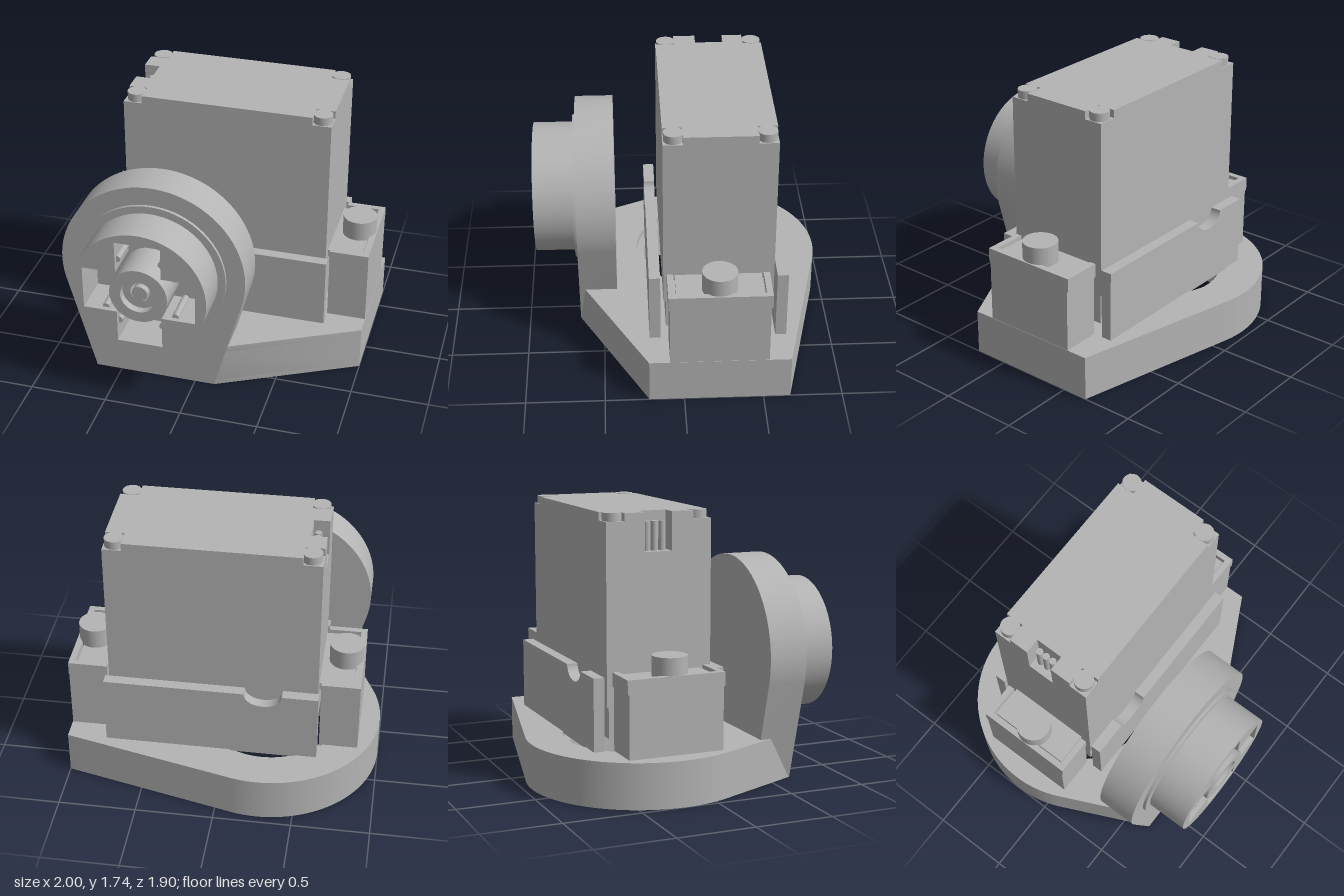
import * as THREE from 'three';
import { toCreasedNormals } from 'three/addons/utils/BufferGeometryUtils.js';

const plastic = new THREE.MeshStandardMaterial({ color: 0xb4b4b4 });
plastic.name = 'grey plastic';

export function createModel() {
  const model = new THREE.Group();
  const AX = -0.27, AZ = -0.22, AY = 0.81; // shared turning axes

  const add = (name, geo, x = 0, y = 0, z = 0) => {
    const m = new THREE.Mesh(geo, plastic);
    m.name = name;
    m.position.set(x, y, z);
    model.add(m);
    return m;
  };
  const poly = (pts) => new THREE.Shape(pts.map(([a, b]) => new THREE.Vector2(a, b)));
  const circle = (x, y, r) => new THREE.Path().absarc(x, y, r, 0, Math.PI * 2, true);
  const extrude = (shape, depth) => toCreasedNormals(
    new THREE.ExtrudeGeometry(shape, { depth, bevelEnabled: false, curveSegments: 48 }), 0.5);
  // plan shape drawn as (x, -z), raised from y0 to y1
  const slab = (name, shape, y0, y1) =>
    add(name, extrude(shape, y1 - y0).rotateX(-Math.PI / 2), 0, y0, 0);
  // front shape drawn as (x, y), running from z0 to z1
  const plate = (name, shape, z0, z1) => add(name, extrude(shape, z1 - z0), 0, 0, z0);
  const box = (name, x0, x1, y0, y1, z0, z1) => add(name,
    new THREE.BoxGeometry(x1 - x0, y1 - y0, z1 - z0), (x0 + x1) / 2, (y0 + y1) / 2, (z0 + z1) / 2);
  const post = (name, x, z, r, y0, y1) =>
    add(name, new THREE.CylinderGeometry(r, r, y1 - y0, 40), x, (y0 + y1) / 2, z);
  const ring = (name, ro, ri, y0, y1) => {
    const s = new THREE.Shape().absarc(AX, -AZ, ro, 0, Math.PI * 2);
    s.holes.push(circle(AX, -AZ, ri));
    return slab(name, s, y0, y1);
  };

  // Base: rounded at the back left, with a round bore of varying width
  const baseShape = (hole) => {
    const s = new THREE.Shape();
    s.moveTo(-0.67, -0.655);
    s.lineTo(0.14, -0.655);
    s.lineTo(1, -0.22);
    s.lineTo(1, 0.67);
    s.absarc(AX, -AZ, 0.73, 1.34, Math.PI + 0.41, false);
    s.closePath();
    s.holes.push(circle(AX, -AZ, hole));
    return s;
  };
  slab('baseBottom', baseShape(0.56), 0, 0.03);
  slab('baseMiddle', baseShape(0.44), 0.03, 0.25);
  slab('baseTop', baseShape(0.49), 0.25, 0.29);
  ring('boreOuterRing', 0.54, 0.5, 0, 0.04);
  ring('boreInnerRing', 0.48, 0.44, 0.01, 0.04);

  // Upright front bracket with a round head
  const bracket = new THREE.Shape();
  bracket.moveTo(-0.67, 0);
  bracket.lineTo(0.13, 0);
  bracket.absarc(AX, AY, 0.6, -0.25, Math.PI + 0.25, false);
  bracket.closePath();
  plate('frontBracket', bracket, 0.41, 0.66);

  // Hub with a cross-shaped socket
  const disc = (r) => new THREE.Shape().absarc(AX, AY, r, 0, Math.PI * 2);
  plate('hubLip', disc(0.48), 0.65, 0.68);
  const w = 0.145, l = 0.36;
  const cross = [[-w, l], [-w, w], [-l, w], [-l, -w], [-w, -w], [-w, -l],
    [w, -l], [w, -w], [l, -w], [l, w], [w, w], [w, l]].map(([a, b]) => [AX + a, AY + b]);
  const hub = disc(0.43);
  hub.holes.push(new THREE.Path(poly(cross).getPoints()));
  plate('hub', hub, 0.68, 0.94);
  const boss = disc(0.185);
  boss.holes.push(circle(AX, AY, 0.115));
  plate('hubBoss', boss, 0.68, 0.95);
  const core = disc(0.115);
  core.holes.push(circle(AX, AY, 0.065));
  plate('hubCore', core, 0.68, 0.9);
  plate('hubPin', disc(0.05), 0.68, 0.92);
  for (const sx of [-1, 1]) for (const sy of [-1, 1]) {
    for (const [dx, dy] of [[0.14, 0.225], [0.225, 0.14]]) {
      add('socketRib', new THREE.CylinderGeometry(0.022, 0.022, 0.22, 12).rotateX(Math.PI / 2),
        AX + sx * dx, AY + sy * dy, 0.8);
    }
  }

  // Motor case: the end with the cable slot is on -x
  const X0 = -0.61, X1 = 0.725, Z0 = -0.57, Z1 = 0.12, c = 0.12;
  box('motorLowerCase', X0 + 0.01, X1 - 0.01, 0.36, 0.56, Z0 + 0.015, Z1 - 0.015);
  box('motorCase', X0, X1, 0.56, 1.5, Z0, Z1);
  const slot = [[X0, 0.32], [-0.51, 0.32], [-0.51, 0.14], [X0, 0.14]];
  slab('motorUpperCase', poly([[X0, -Z1], [X1, -Z1], [X1, -Z0], [X0, -Z0], ...slot]), 1.5, 1.69);
  slab('motorLid', poly([
    [X0, -Z1 + c], [X0 + c, -Z1 + c], [X0 + c, -Z1], [X1 - c, -Z1], [X1 - c, -Z1 + c], [X1, -Z1 + c],
    [X1, -Z0 - c], [X1 - c, -Z0 - c], [X1 - c, -Z0], [X0 + c, -Z0], [X0 + c, -Z0 - c], [X0, -Z0 - c],
    ...slot]), 1.69, 1.74);
  for (const x of [-0.54, 0.66]) for (const z of [-0.505, 0.055]) {
    post('lidScrew', x, z, 0.06, 1.68, 1.742);
  }
  for (const z of [-0.28, -0.23, -0.18]) {
    post('cableWire', -0.545, z, 0.022, 1.5, 1.68);
  }

  // Toothed output shaft reaching into the base
  const teeth = [];
  for (let i = 0; i < 48; i++) {
    const r = i % 2 ? 0.115 : 0.1, a = i * Math.PI / 24;
    teeth.push([AX + r * Math.cos(a), -AZ + r * Math.sin(a)]);
  }
  const gear = poly(teeth);
  gear.holes.push(circle(AX, -AZ, 0.045));
  slab('outputShaft', gear, 0.19, 0.37);

  // Side walls with a curved dip above the shaft
  for (const z0 of [-0.66, 0.14]) {
    const wall = new THREE.Shape();
    wall.moveTo(-0.62, 0.28);
    wall.lineTo(0.745, 0.28);
    wall.lineTo(0.745, 0.75);
    wall.lineTo(AX + 0.12, 0.75);
    wall.absellipse(AX, 0.75, 0.12, 0.085, 0, Math.PI, true);
    wall.lineTo(-0.62, 0.75);
    wall.closePath();
    plate('sideWall', wall, z0, z0 + 0.07);
  }

  // End mounts: pillar, rimmed tray and screw head
  for (const [x0, x1, sx, open] of [[0.745, 0.998, 0.88, 1], [-0.873, -0.625, -0.76, -1]]) {
    box('mountPillar', x0, x1, 0.28, 0.69, -0.53, 0.09);
    box('mountTray', x0, x1, 0.69, 0.735, -0.54, 0.1);
    for (const z of [-0.54, 0.06]) box('trayRim', x0, x1, 0.73, 0.78, z, z + 0.04);
    const outer = open > 0 ? x1 - 0.04 : x0;
    box('trayRimEnd', outer, outer + 0.04, 0.73, 0.78, -0.52, 0.08);
    // motor flange lying in the tray
    box('motorFlange', open > 0 ? 0.72 : x0 + 0.05, open > 0 ? x1 - 0.05 : -0.6,
      0.71, 0.76, -0.49, 0.05);
    post('mountScrew', sx, AZ, 0.11, 0.74, 0.89);
  }
  return model;
}
